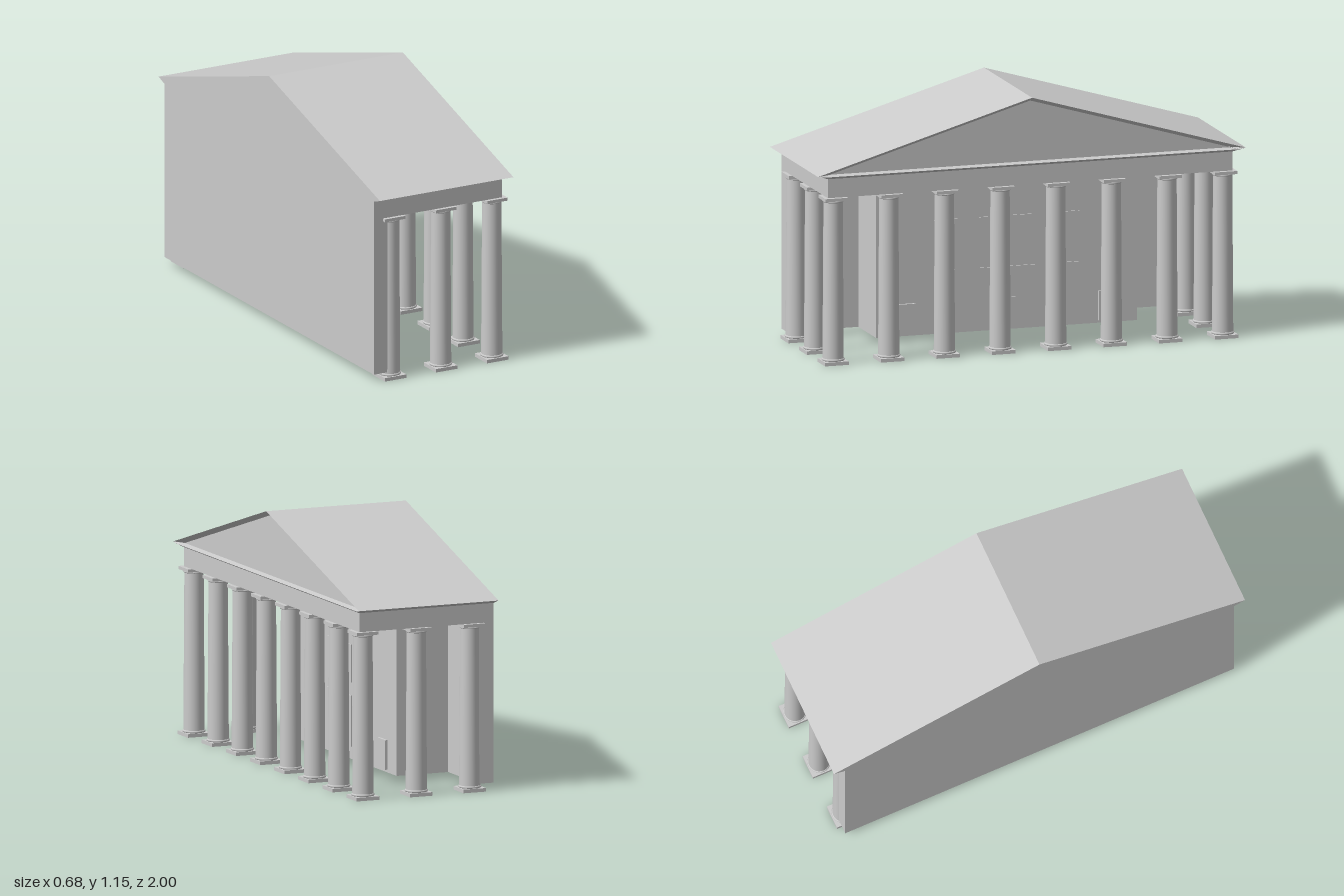
import * as THREE from 'three';

const grey = new THREE.MeshStandardMaterial({ color: 0xcccccc });

function add(parent, name, geometry, x = 0, y = 0, z = 0) {
  const mesh = new THREE.Mesh(geometry, grey);
  mesh.name = name;
  mesh.position.set(x, y, z);
  parent.add(mesh);
  return mesh;
}

// box given by its minimum and maximum on each axis
function block(parent, name, [x0, x1], [y0, y1], [z0, z1]) {
  return add(parent, name, new THREE.BoxGeometry(x1 - x0, y1 - y0, z1 - z0),
    (x0 + x1) / 2, (y0 + y1) / 2, (z0 + z1) / 2);
}

// flat-shaded solid through rings { x, points: [z, y] }, capped at both ends
function loft(rings) {
  const v = [];
  const n = rings[0].points.length;
  const p = (i, j) => {
    const [z, y] = rings[i].points[j % n];
    return [rings[i].x, y, z];
  };
  for (let i = 0; i < rings.length - 1; i++) {
    for (let j = 0; j < n; j++) {
      const a = p(i, j), b = p(i, j + 1), c = p(i + 1, j + 1), d = p(i + 1, j);
      v.push(...a, ...b, ...c, ...a, ...c, ...d);
    }
  }
  const last = rings.length - 1;
  for (let j = 1; j < n - 1; j++) {
    v.push(...p(0, 0), ...p(0, j + 1), ...p(0, j));
    v.push(...p(last, 0), ...p(last, j), ...p(last, j + 1));
  }
  const geometry = new THREE.BufferGeometry();
  geometry.setAttribute('position', new THREE.Float32BufferAttribute(v, 3));
  geometry.computeVertexNormals();
  return geometry;
}

// gable section: bottom corner, eave, ridge, eave, bottom corner
function gable(bottomZ, bottomY, eaveZ, eaveY, ridgeY) {
  return [[-bottomZ, bottomY], [-eaveZ, eaveY], [0, ridgeY], [eaveZ, eaveY], [bottomZ, bottomY]];
}

function ringMoulding(radius, tube) {
  return new THREE.TorusGeometry(radius, tube, 8, 32).rotateX(Math.PI / 2);
}

const columnParts = {
  plinth: new THREE.BoxGeometry(0.11, 0.016, 0.11),
  baseRing: ringMoulding(0.046, 0.006),
  shaft: new THREE.CylinderGeometry(0.043, 0.0475, 0.72, 32, 1, true),
  neckRing: ringMoulding(0.042, 0.005),
  abacus: new THREE.BoxGeometry(0.104, 0.014, 0.104),
};

function column(x, z) {
  const group = new THREE.Group();
  group.name = 'column';
  group.position.set(x, 0, z);
  add(group, 'plinth', columnParts.plinth, 0, 0.008);
  add(group, 'baseRing', columnParts.baseRing, 0, 0.021);
  add(group, 'shaft', columnParts.shaft, 0, 0.376);
  add(group, 'neckRing', columnParts.neckRing, 0, 0.738);
  add(group, 'abacus', columnParts.abacus, 0, 0.75);
  return group;
}

export function createModel() {
  const model = new THREE.Group();
  model.name = 'temple';

  // wide rear wall, narrower hall in front of it, and the beam over the columns
  block(model, 'rearWall', [-0.34, -0.27], [0.034, 0.757], [-0.945, 0.945]);
  block(model, 'hall', [-0.27, -0.02], [0.034, 0.757], [-0.61, 0.61]);
  block(model, 'entablature', [-0.34, 0.313], [0.757, 0.845], [-0.945, 0.945]);

  // roof with sloping soffits and a recessed pediment
  const section = gable(0.945, 0.843, 1, 0.862, 1.155);
  add(model, 'roof', loft([
    { x: -0.34, points: section },
    { x: 0.313, points: section },
    { x: 0.34, points: gable(0.97, 0.857, 1, 0.862, 1.155) },
    { x: 0.313, points: gable(0.93, 0.863, 0.925, 0.866, 1.137) },
  ]));

  // colonnade: eight across the front, two more along each side
  for (let i = 0; i < 8; i++) model.add(column(0.28, -0.91 + 0.26 * i));
  for (const side of [-1, 1]) {
    for (const x of [0.02, -0.24]) model.add(column(x, side * 0.91));
  }

  // raised panels on the hall front
  const panel = (name, depth, y, z) => block(model, name, [-0.025, -0.02 + depth], y, z);
  for (const y of [[0.09, 0.32], [0.38, 0.55]]) {
    panel('centrePanel', 0.006, y, [-0.13, 0.13]);
    panel('window', 0.006, y, [0.23, 0.34]);
    panel('window', 0.006, y, [-0.34, -0.23]);
  }
  for (const z of [-0.47, 0, 0.47]) panel('door', 0.012, [0.047, 0.18], [z - 0.043, z + 0.043]);

  return model;
}
